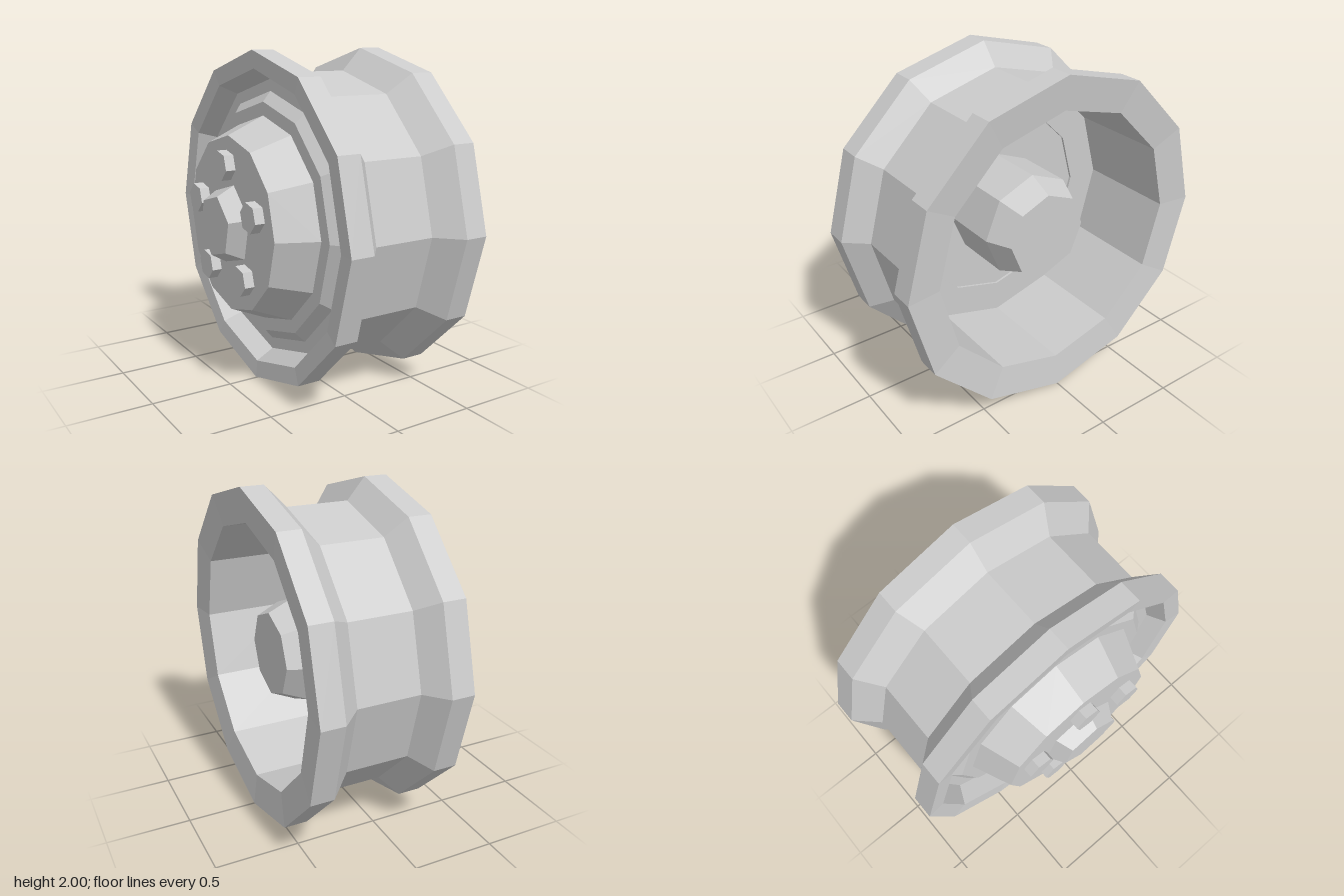
import * as THREE from 'three';

const material = new THREE.MeshStandardMaterial({ color: 0xcccccc, flatShading: true });

// Tapered prism along x, from radius r0 at x0 to r1 at x1 (x0 < x1).
// angle: first corner, measured from +y towards +z.
function prism(name, x0, r0, x1, r1, sides, angle, y = 0, z = 0) {
  const geometry = new THREE.CylinderGeometry(r1, r0, x1 - x0, sides, 1, false, angle - Math.PI / 2);
  geometry.rotateZ(-Math.PI / 2);
  const mesh = new THREE.Mesh(geometry, material);
  mesh.name = name;
  mesh.position.set((x0 + x1) / 2, y, z);
  return mesh;
}

// Solid of revolution about x from [x, radius] pairs
function turned(name, profile, sides) {
  const points = profile.map(([x, r]) => new THREE.Vector2(r, x));
  const geometry = new THREE.LatheGeometry(points, sides);
  geometry.rotateZ(-Math.PI / 2);
  const mesh = new THREE.Mesh(geometry, material);
  mesh.name = name;
  return mesh;
}

export function createModel() {
  const model = new THREE.Group();
  model.name = 'wheelRim';
  const wheel = new THREE.Group();
  wheel.name = 'wheel';
  wheel.position.y = 1;
  model.add(wheel);

  // Rim barrel with outer lip, central channel, inner lip and deep well
  wheel.add(turned('rim', [
    [-0.25, 0.6], [-0.25, 0.7], [-0.2, 0.76], [-0.2, 0.83], [-0.31, 0.89],
    [-0.32, 0.995], [-0.18, 0.995], [-0.07, 0.865], [0.31, 0.865],
    [0.44, 1], [0.58, 1], [0.555, 0.8], [-0.06, 0.8], [-0.06, 0.6],
    [-0.075, 0.6], [-0.075, 0],
  ], 12));

  // Raised dish that carries the nuts
  wheel.add(prism('dish', -0.48, 0.52, -0.25, 0.62, 12, 0));

  // Hexagonal cap in the centre of the dish
  const turn = THREE.MathUtils.degToRad(14);
  wheel.add(prism('centreCap', -0.58, 0.187, -0.48, 0.247, 6, turn));

  // Five wheel nuts
  for (let i = 0; i < 5; i++) {
    const a = (i / 5) * Math.PI * 2;
    const y = 0.35 * Math.cos(a);
    const z = 0.35 * Math.sin(a);
    wheel.add(prism('wheelNut', -0.54, 0.088, -0.47, 0.088, 6, THREE.MathUtils.degToRad(-17), y, z));
  }

  // Octagonal axle hub inside the well
  wheel.add(turned('axleHub', [
    [-0.08, 0.326], [0.29, 0.326], [0.44, 0.257], [0.44, 0],
  ], 8));

  return model;
}
